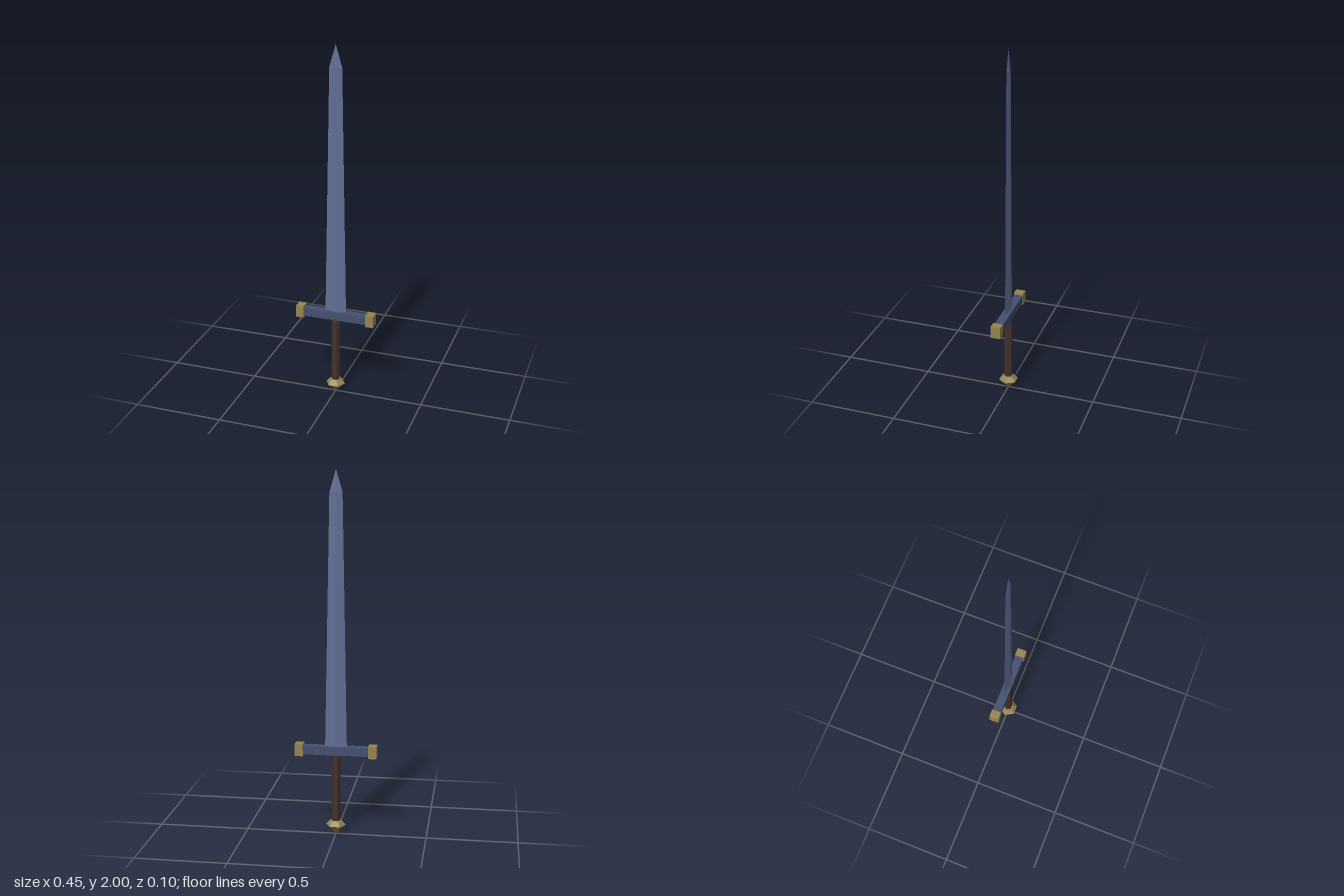
import * as THREE from 'three';

const material = (name, color) => {
  const m = new THREE.MeshStandardMaterial({ color, flatShading: true });
  m.name = name;
  return m;
};

export function createModel() {
  const steel = material('blade steel', 0x626e94);
  const darkSteel = material('guard steel', 0x445070);
  const brass = material('brass', 0x968450);
  const leather = material('grip leather', 0x43312c);

  const sword = new THREE.Group();
  sword.name = 'sword';

  const add = (name, geometry, mat, x, y) => {
    const mesh = new THREE.Mesh(geometry, mat);
    mesh.name = name;
    mesh.position.set(x, y, 0);
    sword.add(mesh);
    return mesh;
  };

  // Blade: flattened four-sided taper with a central ridge on each face
  const flat = 0.22;
  const bladeBase = 0.49, shoulder = 1.88, tip = 2;
  const bladeLength = shoulder - bladeBase;
  add('blade', new THREE.CylinderGeometry(0.035, 0.06, bladeLength, 4, 1, true).scale(1, 1, flat),
    steel, 0, bladeBase + bladeLength / 2);
  add('bladeTip', new THREE.ConeGeometry(0.035, tip - shoulder, 4, 1, true).scale(1, 1, flat),
    steel, 0, (shoulder + tip) / 2);

  // Crossguard with a brass block on each end
  add('guard', new THREE.BoxGeometry(0.37, 0.046, 0.048), darkSteel, 0, 0.481);
  for (const side of [-1, 1]) {
    add(side > 0 ? 'leftGuardCap' : 'rightGuardCap',
      new THREE.BoxGeometry(0.045, 0.068, 0.055), brass, side * 0.202, 0.481);
  }

  // Six-sided grip, corners on the x axis
  add('grip', new THREE.CylinderGeometry(0.024, 0.024, 0.4, 6).rotateY(Math.PI / 6), leather, 0, 0.265);

  // Six-sided pommel pointed at the bottom
  const profile = [[0, 0.005], [0.055, 0.054], [0.03, 0.08], [0, 0.08]]
    .map(([r, y]) => new THREE.Vector2(r, y - 0.005 * (y < 0.01)));
  add('pommel', new THREE.LatheGeometry(profile, 6).rotateY(Math.PI / 6), brass, 0, 0);

  return sword;
}
